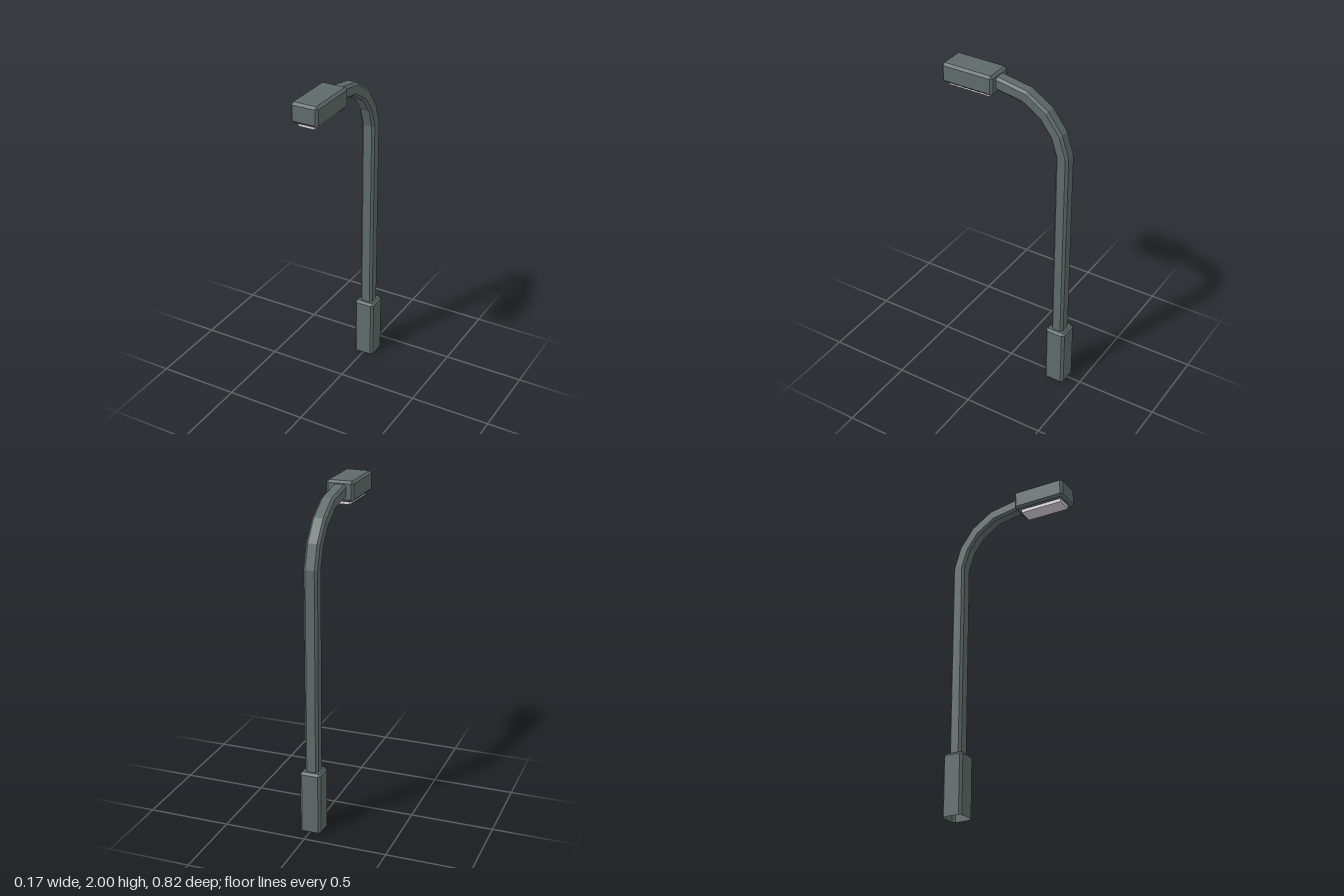
import * as THREE from 'three';

// Rectangle outline with cut corners, counter-clockwise, half sizes hu and hv
function chamferedRect(hu, hv, c) {
  return [
    [hu, -hv + c], [hu, hv - c], [hu - c, hv], [-hu + c, hv],
    [-hu, hv - c], [-hu, -hv + c], [-hu + c, -hv], [hu - c, -hv],
  ];
}

// Places an outline at (0, y, z), tipped forward by tilt degrees about x
function ring(outline, y, z, tilt = 0) {
  const a = THREE.MathUtils.degToRad(tilt);
  return outline.map(([u, v]) => new THREE.Vector3(u, y + v * Math.sin(a), z - v * Math.cos(a)));
}

// Skins a list of rings, with optional end caps
function loft(rings, capStart, capEnd) {
  const points = [];
  const n = rings[0].length;
  for (let i = 0; i < rings.length - 1; i++) {
    for (let j = 0; j < n; j++) {
      const k = (j + 1) % n;
      const [a, b, c, d] = [rings[i][j], rings[i][k], rings[i + 1][k], rings[i + 1][j]];
      points.push(a, b, c, a, c, d);
    }
  }
  const first = rings[0], last = rings[rings.length - 1];
  for (let j = 1; j < n - 1; j++) {
    if (capStart) points.push(first[0], first[j + 1], first[j]);
    if (capEnd) points.push(last[0], last[j], last[j + 1]);
  }
  const geometry = new THREE.BufferGeometry().setFromPoints(points);
  geometry.computeVertexNormals();
  return geometry;
}

export function createModel() {
  const group = new THREE.Group();
  const metal = new THREE.MeshStandardMaterial({ color: 0x5f6b69, flatShading: true, side: THREE.DoubleSide });
  metal.name = 'grey green metal';
  const glass = new THREE.MeshStandardMaterial({ color: 0xdcd5da, flatShading: true });
  glass.name = 'pale lamp glass';

  const add = (name, geometry, material) => {
    const mesh = new THREE.Mesh(geometry, material);
    mesh.name = name;
    group.add(mesh);
    return mesh;
  };

  const poleZ = -0.345;

  // Base sleeve, open underneath, with a bevelled top
  const sleeve = chamferedRect(0.064, 0.064, 0.014);
  add('base', loft([
    ring(sleeve, 0, poleZ),
    ring(sleeve, 0.366, poleZ),
    ring(chamferedRect(0.052, 0.052, 0.006), 0.38, poleZ),
  ], false, true), metal);

  // Pole that bends forward into the arm: [y, z, tilt]
  const pole = chamferedRect(0.041, 0.0395, 0.014);
  const path = [
    [0.37, poleZ, 0], [1.6, poleZ, 0], [1.725, -0.305, 24], [1.832, -0.225, 52],
    [1.91, -0.103, 70.5], [1.942, 0.08, 82], [1.944, 0.1, 90],
  ];
  add('pole', loft(path.map(([y, z, tilt]) => ring(pole, y, z, tilt)), false, true), metal);

  // Lamp head, bevelled on every edge
  const bevel = 0.014, headZ = 0.242, hx = 0.084, hz = 0.166;
  const side = chamferedRect(hx, hz, bevel);
  const face = chamferedRect(hx - bevel, hz - bevel, 0);
  add('lampHead', loft([
    ring(face, 1.88, headZ),
    ring(side, 1.88 + bevel, headZ),
    ring(side, 2 - bevel, headZ),
    ring(face, 2, headZ),
  ], true, true), metal);

  // Light panel under the head
  add('lightPanel', new THREE.BoxGeometry(0.1, 0.03, 0.27), glass).position.set(0, 1.873, 0.246);

  return group;
}
